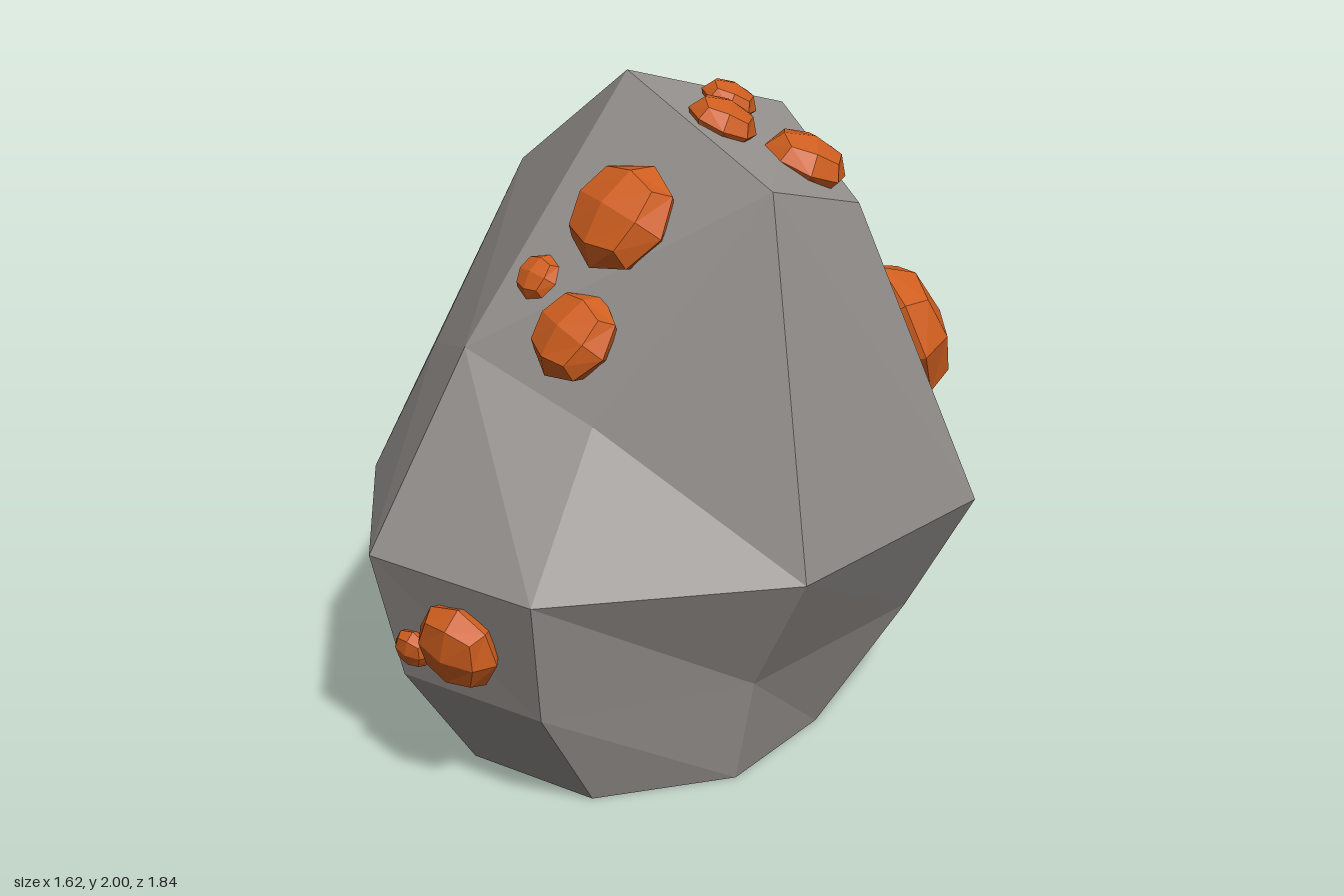
import * as THREE from 'three';

const rockGrey = new THREE.MeshStandardMaterial({ color: 0x96928f, flatShading: true, side: THREE.DoubleSide });
rockGrey.name = 'rock grey';
const oreOrange = new THREE.MeshStandardMaterial({ color: 0xcf5e1f, flatShading: true });
oreOrange.name = 'ore orange';

// Boulder: eight-sided rings, each starting at the front and turning towards +x
const rings = [
  [[-0.04, 0, 0.59], [0.37, 0, 0.45], [0.51, 0, 0.04], [0.37, 0, -0.37],
   [-0.04, 0, -0.51], [-0.45, 0, -0.37], [-0.59, 0, 0.04], [-0.45, 0, 0.45]],
  [[-0.04, 0.34, 0.82], [0.43, 0.34, 0.66], [0.59, 0.34, 0.04], [0.44, 0.34, -0.65],
   [-0.04, 0.34, -0.82], [-0.52, 0.34, -0.46], [-0.68, 0.34, 0.04], [-0.52, 0.34, 0.52]],
  [[-0.04, 0.74, 0.92], [0.51, 0.74, 0.74], [0.81, 0.73, 0.035], [0.63, 0.73, -0.74],
   [-0.04, 0.73, -0.92], [-0.59, 0.74, -0.52], [-0.775, 0.74, 0.035], [-0.59, 0.74, 0.58]],
  [[-0.04, 1.29, 0.59], [0.37, 1.15, 0.44], [0.63, 1.81, 0.035], [0.49, 1.67, -0.38],
   [-0.04, 1.82, -0.52], [-0.45, 1.47, -0.38], [-0.59, 1.61, 0.035], [-0.45, 1.15, 0.44]],
];
const peak = [-0.04, 2, 0.035];

function boulderGeometry() {
  const pos = [];
  const tri = (a, b, c) => pos.push(...a, ...b, ...c);
  // side walls, open underneath
  for (let r = 0; r < rings.length - 1; r++) {
    const lo = rings[r], hi = rings[r + 1];
    for (let i = 0; i < 8; i++) {
      const j = (i + 1) % 8;
      tri(lo[i], lo[j], hi[i]);
      tri(lo[j], hi[j], hi[i]);
    }
  }
  // four slanted top facets meeting at the peak
  const top = rings[3];
  for (let i = 0; i < 8; i += 2) {
    const a = top[i], b = top[i + 1], c = top[(i + 2) % 8];
    tri(peak, a, c);
    tri(a, b, c);
  }
  const g = new THREE.BufferGeometry();
  g.setAttribute('position', new THREE.Float32BufferAttribute(pos, 3));
  g.computeVertexNormals();
  return g;
}

// Ore nugget: a box of 2 x 2 faces per side, rounded onto a unit sphere
function nuggetGeometry() {
  const g = new THREE.BoxGeometry(2, 2, 2, 2, 2, 2);
  const p = g.attributes.position, v = new THREE.Vector3();
  for (let i = 0; i < p.count; i++) {
    v.fromBufferAttribute(p, i).normalize();
    p.setXYZ(i, v.x, v.y, v.z);
  }
  const flat = g.toNonIndexed();
  flat.computeVertexNormals();
  return flat;
}

// Nuggets grouped by the facet they sit on: facet normal, then [x, y, z, radius, roll]
const clusters = [
  { name: 'upperFrontOre', normal: [0.17, 0.6, 0.78],
    list: [[0.24, 1.68, 0.25, 0.165, -0.2], [0.255, 1.375, 0.42, 0.135, -0.3], [0.065, 1.49, 0.41, 0.07, -0.1]] },
  { name: 'lowerFrontOre', normal: [0.3, -0.23, 0.92],
    list: [[0.24, 0.54, 0.805, 0.135, -0.2], [0.05, 0.465, 0.84, 0.062, -0.2]] },
  { name: 'topOre', normal: [0.26, 0.92, -0.3],
    list: [[0.24, 1.895, -0.09, 0.103, 0.1], [0.07, 1.895, -0.24, 0.085, 0.1], [0.37, 1.78, -0.28, 0.125, 0.2]] },
  { name: 'backOre', normal: [0.33, 0.33, -0.88],
    list: [[0.31, 1.18, -0.70, 0.215, 0.1], [0.10, 1.49, -0.62, 0.105, 0.1]] },
  { name: 'backRightOre', normal: [-0.52, 0.3, -0.8],
    list: [[-0.34, 0.96, -0.68, 0.2, 0]] },
  { name: 'rightOre', normal: [-0.91, 0.2, -0.37],
    list: [[-0.68, 1.13, -0.13, 0.2, 0.3], [-0.6, 1.46, -0.09, 0.09, 0]] },
];

export function createModel() {
  const model = new THREE.Group();
  model.name = 'oreBoulder';

  const boulder = new THREE.Mesh(boulderGeometry(), rockGrey);
  boulder.name = 'boulder';
  model.add(boulder);

  const nugget = nuggetGeometry();
  for (const { name, normal, list } of clusters) {
    const cluster = new THREE.Group();
    cluster.name = name;
    for (const [x, y, z, r, roll] of list) {
      const m = new THREE.Mesh(nugget, oreOrange);
      m.name = 'oreNugget';
      m.position.set(x, y, z);
      m.lookAt(x + normal[0], y + normal[1], z + normal[2]);
      m.rotateZ(roll);
      m.scale.set(r, r, r * 0.62); // flattened against the rock
      cluster.add(m);
    }
    model.add(cluster);
  }
  return model;
}
